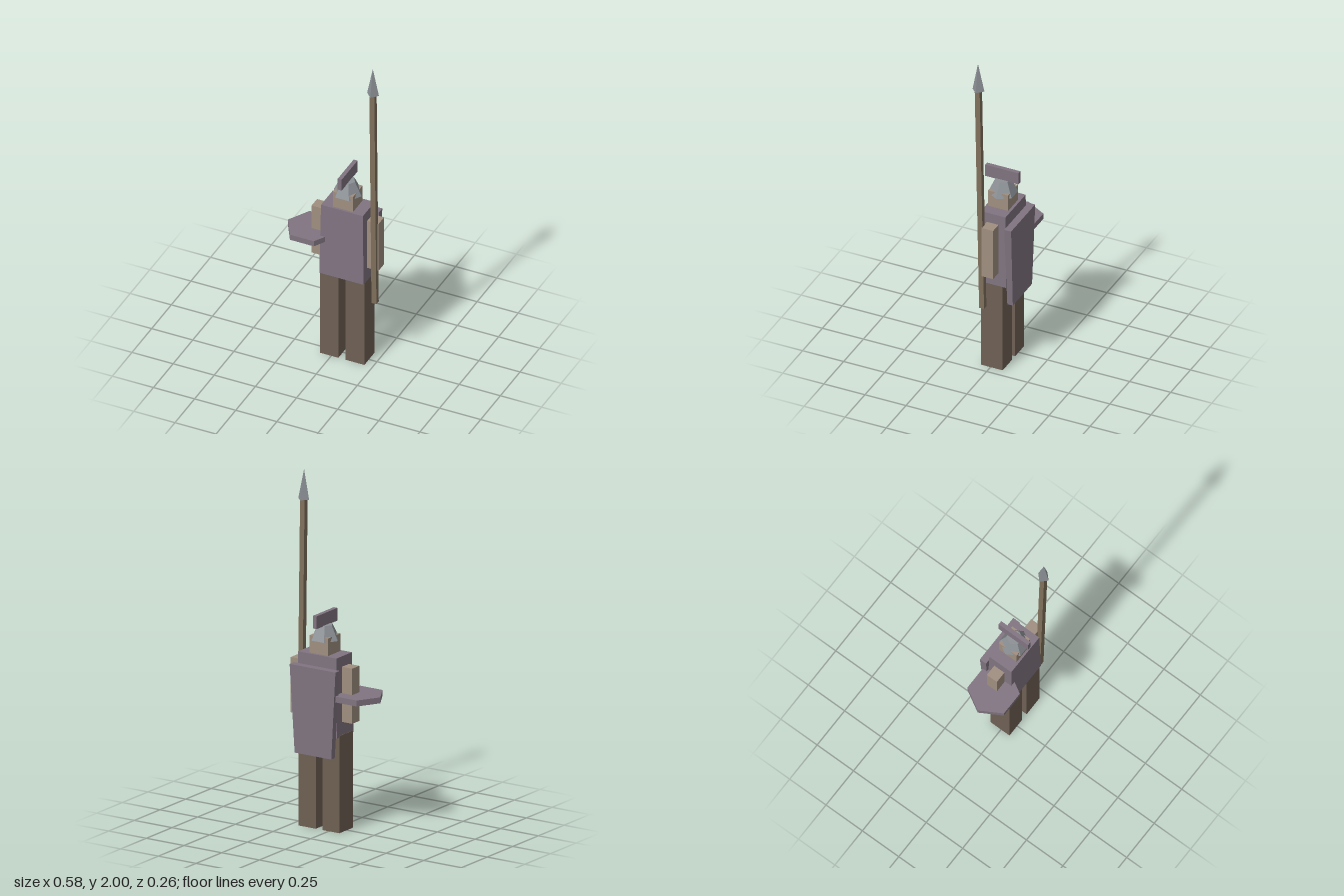
import * as THREE from 'three';

const mat = (color) => new THREE.MeshStandardMaterial({ color, flatShading: true });

export function createModel() {
  const model = new THREE.Group();
  const cloth = mat(0x807480), skin = mat(0xa08f80), leather = mat(0x6f6054);
  const steel = mat(0x8c9196), wood = mat(0x80705c);

  const add = (name, geometry, material) => {
    const mesh = new THREE.Mesh(geometry, material);
    mesh.name = name;
    model.add(mesh);
    return mesh;
  };

  // Box given by its extents; the bottom face can be scaled for a taper.
  const block = (name, material, [x0, x1], [y0, y1], [z0, z1], bottomX = 1, bottomZ = bottomX) => {
    const geo = new THREE.BoxGeometry(x1 - x0, y1 - y0, z1 - z0);
    const p = geo.attributes.position;
    for (let i = 0; i < p.count; i++) {
      if (p.getY(i) < 0) {
        p.setX(i, p.getX(i) * bottomX);
        p.setZ(i, p.getZ(i) * bottomZ);
      }
    }
    geo.computeVertexNormals();
    const mesh = add(name, geo, material);
    mesh.position.set((x0 + x1) / 2, (y0 + y1) / 2, (z0 + z1) / 2);
    return mesh;
  };

  // Body
  block('torso', cloth, [-0.06, 0.194], [0.545, 1.0], [-0.088, 0.063], 1.06, 1.08);
  block('rightLeg', leather, [-0.07, 0.043], [0, 0.555], [-0.074, 0.058]);
  block('leftLeg', leather, [0.086, 0.201], [0, 0.555], [-0.074, 0.058]);
  block('rightArm', skin, [-0.137, -0.069], [0.63, 0.945], [-0.047, 0.022]);
  block('leftArm', skin, [0.201, 0.27], [0.63, 0.945], [-0.049, 0.022]);
  block('head', skin, [0.006, 0.128], [0.99, 1.1], [-0.072, 0.05]);

  // Six-sided helmet with a crest along the middle
  const helmet = add('helmet', new THREE.CylinderGeometry(0.044, 0.084, 0.084, 6), steel);
  helmet.rotation.y = Math.PI / 6;
  helmet.position.set(0.067, 1.116, -0.011);
  block('helmetCrest', cloth, [0.055, 0.079], [1.155, 1.228], [-0.111, 0.091]);

  // Tapered shield on the back
  block('backShield', cloth, [-0.085, 0.219], [0.432, 0.935], [-0.134, -0.092], 0.8);

  // Flat hexagonal plate at the right arm
  const plate = add('armPlate', new THREE.CylinderGeometry(0.145, 0.145, 0.034, 6), cloth);
  plate.rotation.y = Math.PI / 6;
  plate.position.set(-0.144, 0.777, 0.005);

  // Spear, leaning slightly forward
  const shaft = block('spearShaft', wood, [0.235, 0.265], [0.415, 1.83], [0.022, 0.052]);
  shaft.rotation.x = 0.019;
  const tip = add('spearTip', new THREE.ConeGeometry(0.036, 0.172, 4), steel);
  tip.position.set(0.25, 1.914, 0.051);
  tip.rotation.x = 0.019;

  return model;
}
